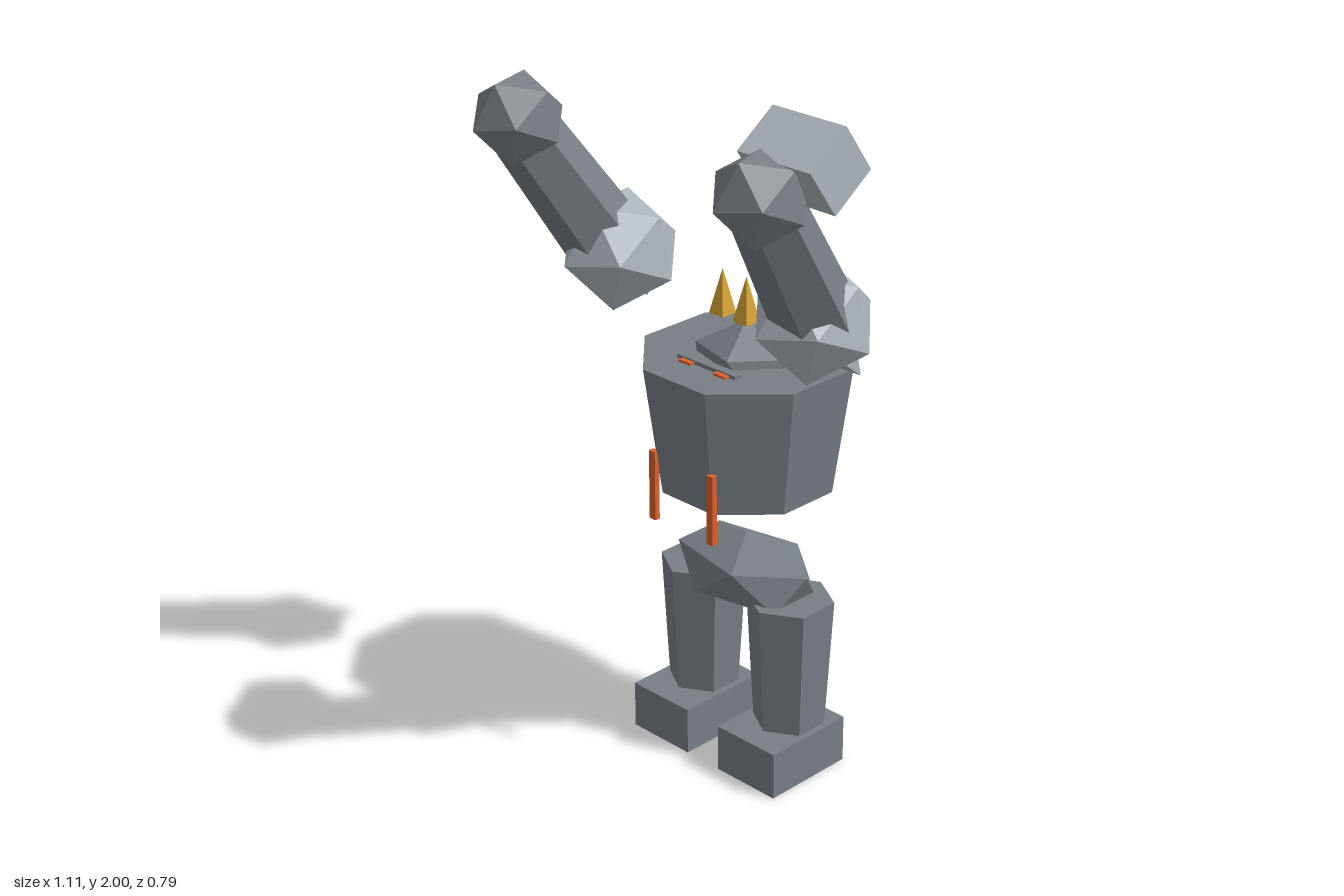
import * as THREE from 'three';
import { ConvexGeometry } from 'three/addons/geometries/ConvexGeometry.js';

export function createModel() {
  const root = new THREE.Group();
  root.name = 'stoneGolem';
  const material = (name, color) => {
    const m = new THREE.MeshStandardMaterial({ color });
    m.flatShading = true;
    m.name = name;
    return m;
  };
  const stone = material('stone', 0x797f86);
  const paleStone = material('paleStone', 0xadb6bd);
  const glow = material('orangeGlow', 0xdc622b);
  const gold = material('gold', 0xd6a235);

  const CX = -0.015, CZ = -0.12; // body axis

  const add = (name, geometry, mat, x, y, z) => {
    const mesh = new THREE.Mesh(geometry, mat);
    mesh.name = name;
    mesh.position.set(x, y, z);
    root.add(mesh);
    return mesh;
  };
  const box = (name, mat, w, h, d, x, y, z) =>
    add(name, new THREE.BoxGeometry(w, h, d), mat, x, y, z);

  // Twenty-sided boulder standing on a corner, a ring corner towards +x
  const boulder = (name, mat, rx, ry, rz, x, y, z) => {
    const points = [new THREE.Vector3(0, ry, 0), new THREE.Vector3(0, -ry, 0)];
    for (let i = 0; i < 10; i++) {
      const a = (i * Math.PI) / 5;
      const up = i % 2 === 0 ? 1 : -1;
      points.push(new THREE.Vector3(0.8944 * rx * Math.cos(a), 0.4472 * ry * up, 0.8944 * rz * Math.sin(a)));
    }
    return add(name, new ConvexGeometry(points), mat, x, y, z);
  };

  // Tapered prism between two points, one corner towards the side
  const limb = (name, mat, from, to, r0, r1, sides) => {
    const dir = to.clone().sub(from);
    const mid = from.clone().add(to).multiplyScalar(0.5);
    const geometry = new THREE.CylinderGeometry(r1, r0, dir.length(), sides);
    geometry.rotateY(Math.PI / 2);
    const mesh = add(name, geometry, mat, mid.x, mid.y, mid.z);
    mesh.quaternion.setFromUnitVectors(new THREE.Vector3(0, 1, 0), dir.normalize());
  };

  // Torso: flat-fronted octagon
  const torso = new THREE.CylinderGeometry(0.295, 0.2435, 0.365, 8);
  torso.rotateY(Math.PI / 8);
  add('torso', torso, stone, CX, 1.0025, CZ);

  // Head half sunk into the torso, with brow and eyes
  boulder('head', stone, 0.16, 0.132, 0.137, CX, 1.148, CZ + 0.006);
  box('brow', stone, 0.212, 0.04, 0.025, CX, 1.176, 0.023);
  for (const s of [-1, 1]) box('eye', glow, 0.043, 0.04, 0.03, CX + s * 0.063, 1.172, 0.036);

  // Crown spikes
  for (const i of [-1, 0, 1]) {
    const spike = new THREE.ConeGeometry(0.036, 0.126, 4);
    spike.rotateY(Math.PI / 4);
    add('crownSpike', spike, gold, CX + i * 0.087, 1.337, CZ + 0.005);
  }

  // Hips
  boulder('hips', stone, 0.252, 0.11, 0.153, CX, 0.545, CZ);

  for (const s of [-1, 1]) {
    // Chest strips, legs and feet
    box('chestStrip', glow, 0.022, 0.2, 0.016, CX + s * 0.107, 0.845, 0.122);
    add('leg', new THREE.CylinderGeometry(0.122, 0.1, 0.39, 6), stone, CX + s * 0.165, 0.32, CZ);
    box('foot', stone, 0.212, 0.137, 0.28, CX + s * 0.165, 0.0685, -0.089);

    // Raised arm with a pale shoulder and its backward spike
    const lean = -2.53;
    boulder('shoulder', paleStone, 0.166, 0.166, 0.166, CX + s * 0.347 + 0.006, 1.42, 0.012).rotation.x = lean;
    boulder('hand', stone, 0.126, 0.126, 0.126, CX + s * 0.424, 1.822, 0.28).rotation.x = lean;
    limb('arm', stone,
      new THREE.Vector3(CX + s * 0.372, 1.425, 0.02),
      new THREE.Vector3(CX + s * 0.43, 1.82, 0.283), 0.112, 0.09, 6);
    limb('shoulderSpike', paleStone,
      new THREE.Vector3(CX + s * 0.355, 1.35, -0.043),
      new THREE.Vector3(CX + s * 0.388, 1.235, -0.13), 0.075, 0, 4);
  }

  // Pale block on the left fist
  box('fistBlock', paleStone, 0.233, 0.152, 0.147, 0.441, 1.895, 0.167).rotation.x = 0.617;

  return root;
}
